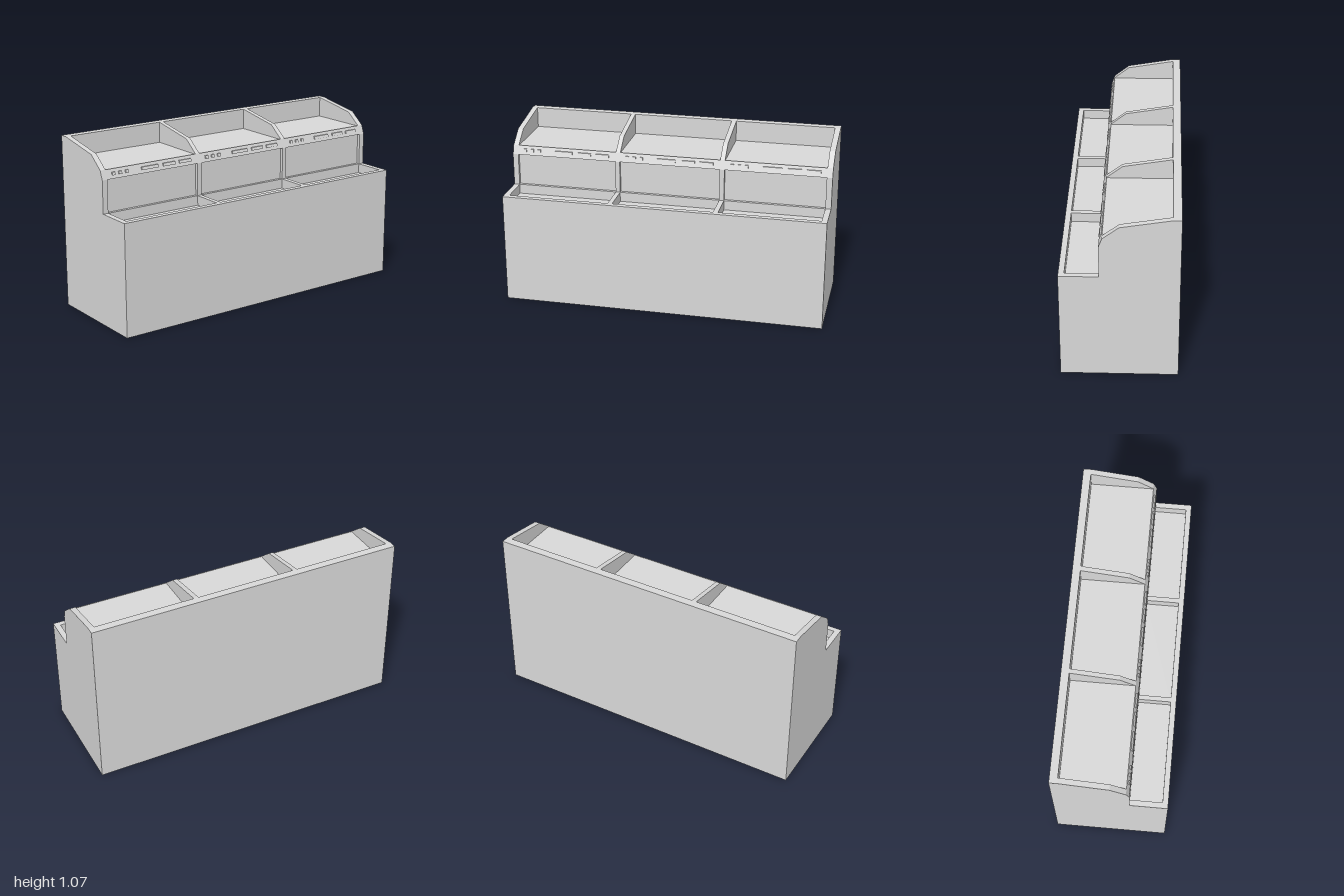
import * as THREE from 'three';

// Side profile of the end panels and dividers (x, y)
const PANEL = [[-0.344, 0], [0.344, 0], [0.344, 0.69], [0.115, 0.69], [0.115, 0.89],
  [0.095, 0.945], [0, 1.02], [-0.29, 1.07], [-0.344, 1.07]];
// Section through a bay: front bin, step, upright front panel, flat upper shelf, back wall
const BAY = [[-0.344, 0], [0.344, 0], [0.344, 0.69], [0.31, 0.69], [0.31, 0.63],
  [0.115, 0.63], [0.115, 0.69], [0.095, 0.69], [0.095, 0.942], [-0.295, 0.942],
  [-0.295, 1.07], [-0.344, 1.07]];
const RAIL = [[0.094, 0.89], [0.115, 0.89], [0.095, 0.945], [0.094, 0.945]];
const TAG = [[0.106, 0.91], [0.116, 0.91], [0.11, 0.927], [0.1, 0.927]];

// z ranges of the three bays and of the walls between them
const BAYS = [[-0.965, -0.345], [-0.315, 0.31], [0.338, 0.966]];
const WALLS = [[-1, -0.965], [-0.345, -0.315], [0.31, 0.338], [0.966, 1]];
// Tag ranges on the rail, for the bay nearest +z
const TAGS = [[0.91, 0.93], [0.865, 0.885], [0.82, 0.84],
  [0.615, 0.73], [0.495, 0.58], [0.38, 0.465]];
const BAY_PITCH = 0.655;

export function createModel() {
  const model = new THREE.Group();
  model.name = 'displayCounter';
  const grey = new THREE.MeshStandardMaterial({ color: 0xd8d8d8 });
  grey.name = 'plain grey';

  // Extrudes a side profile from z0 to z1
  const addSection = (name, profile, z0, z1) => {
    const shape = new THREE.Shape(profile.map(([x, y]) => new THREE.Vector2(x, y)));
    const geometry = new THREE.ExtrudeGeometry(shape, { depth: z1 - z0, bevelEnabled: false });
    const mesh = new THREE.Mesh(geometry, grey);
    mesh.position.z = z0;
    mesh.name = name;
    model.add(mesh);
  };

  WALLS.forEach(([a, b], i) => addSection(i % 3 === 0 ? 'endPanel' : 'divider', PANEL, a, b));

  // Each bay has its own section of front rail
  for (const [a, b] of BAYS) {
    addSection('bay', BAY, a, b);
    addSection('rail', RAIL, a, b);
  }

  // Small raised tags repeat along the rail
  for (let i = 0; i < 3; i++) {
    for (const [a, b] of TAGS) addSection('railTag', TAG, a - i * BAY_PITCH, b - i * BAY_PITCH);
  }
  return model;
}
